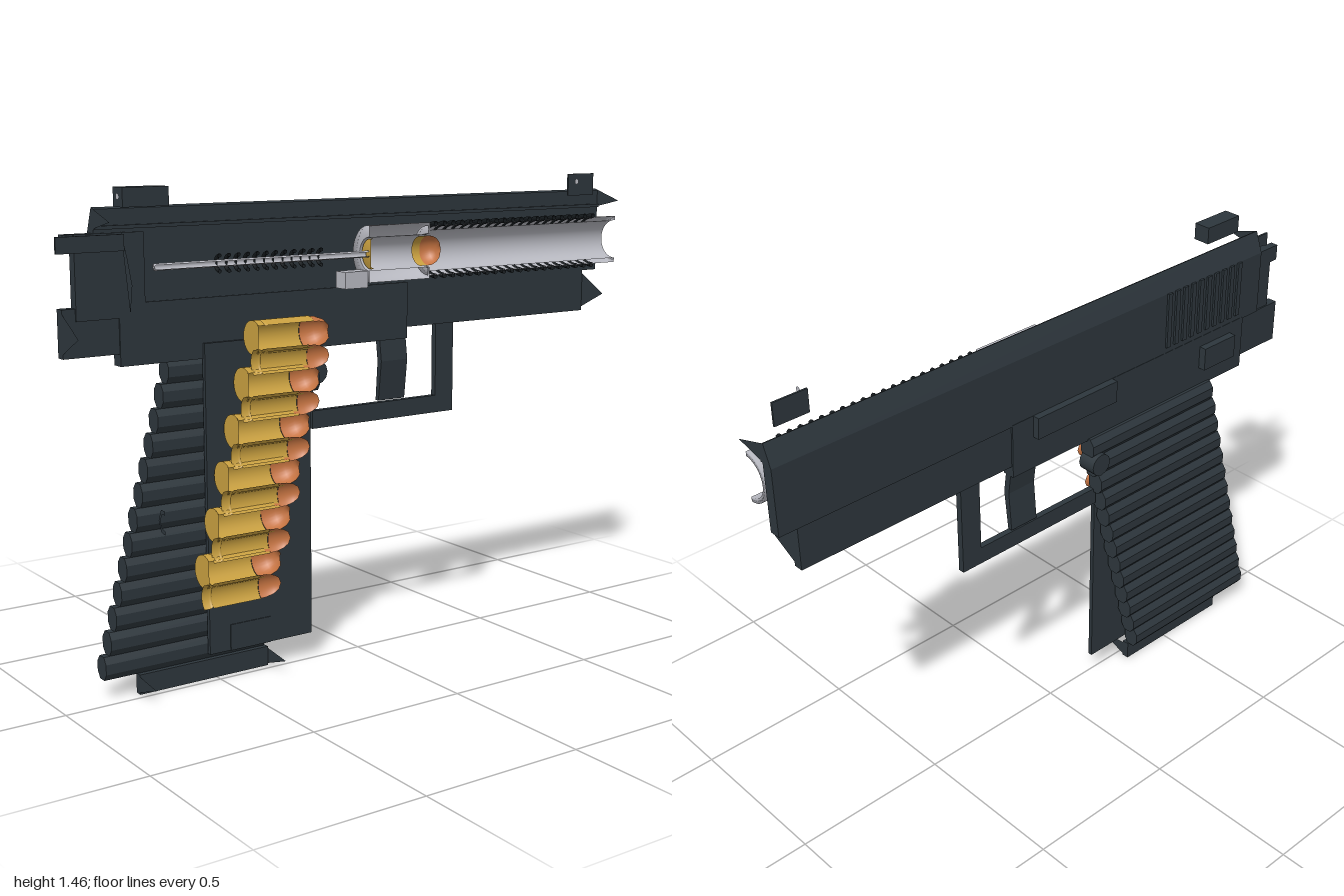
import * as THREE from 'three';

const mat = (name, color, double = true) => {
  const m = new THREE.MeshStandardMaterial({ color, side: double ? THREE.DoubleSide : THREE.FrontSide });
  m.name = name;
  return m;
};

export function createModel() {
  const dark = mat('gunmetal', 0x2d363c);
  const black = mat('springBlack', 0x14191c);
  const steel = mat('steel', 0xb9bac2);
  const brass = mat('brass', 0xc9a040);
  const copper = mat('copper', 0xc67442);
  const root = new THREE.Group();
  const CUT = 0.088; // section plane of the cutaway
  const AXIS = 1.245; // bore height

  const add = (name, geo, material, parent = root) => {
    const m = new THREE.Mesh(geo, material);
    m.name = name;
    parent.add(m);
    return m;
  };
  const group = (name) => {
    const g = new THREE.Group();
    g.name = name;
    root.add(g);
    return g;
  };
  // box from its limits
  const box = (name, [x0, x1], [y0, y1], [z0, z1], material = dark, parent = root) =>
    add(name, new THREE.BoxGeometry(x1 - x0, y1 - y0, z1 - z0)
      .translate((x0 + x1) / 2, (y0 + y1) / 2, (z0 + z1) / 2), material, parent);
  const poly = (pts) => new THREE.Shape(pts.map((p) => new THREE.Vector2(...p)));
  // cross-section in x,y swept along z
  const sweep = (name, pts, z0, z1, parent = root) =>
    add(name, new THREE.ExtrudeGeometry(poly(pts), { depth: z1 - z0, bevelEnabled: false })
      .translate(0, 0, z0), dark, parent);
  // flat face across z
  const face = (name, pts, z, parent = root) =>
    add(name, new THREE.ShapeGeometry(poly(pts)).translate(0, 0, z), dark, parent);
  // trim anything beyond the section plane
  const trim = (geo) => {
    const p = geo.attributes.position;
    for (let i = 0; i < p.count; i++) p.setX(i, Math.min(p.getX(i), CUT));
    return geo;
  };
  // turned part along z, kept only on the near side of the section plane
  const turned = (name, profile, x, y, r, material, parent = root) => {
    const a = Math.acos(THREE.MathUtils.clamp(-(CUT - x) / r, -1, 1));
    const geo = new THREE.LatheGeometry(profile.map((p) => new THREE.Vector2(...p)), 20, 1.5 * Math.PI - a, 2 * a);
    return add(name, trim(geo.rotateX(Math.PI / 2).translate(x, y, 0)), material, parent);
  };
  const tip = (z, r, len) => [[r, z], [r * 0.97, z - len * 0.3], [r * 0.8, z - len * 0.65],
    [r * 0.5, z - len * 0.9], [0, z - len]];

  // Slide
  const slide = group('slide');
  sweep('slideWall', [[-0.055, 1.135], [-0.055, 1.34], [-0.03, 1.405], [-0.02, 1.4], [-0.02, 1.135]], -1, 0.86, slide);
  box('slideRear', [-0.045, -0.015], [1.1, 1.335], [0.71, 0.92], dark, slide);
  box('slideRearRail', [-0.045, -0.02], [1.285, 1.335], [0.86, 0.95], dark, slide);
  box('slideLedge', [-0.022, -0.012], [1.345, 1.355], [-1, 0.86], dark, slide);
  for (const z of [-1, 0.86])
    face('slideEnd', [[-0.03, 1.405], [-0.03, 1.345], [0.08, 1.37]], z, slide);
  for (let i = 0; i < 10; i++)
    box('serration', [-0.062, -0.05], [1.16, 1.34], [0.43 + i * 0.035, 0.447 + i * 0.035], dark, slide);

  // Sights and hammer
  box('rearSight', [0.005, 0.06], [1.407, 1.46], [0.67, 0.81]);
  add('rearSightDot', new THREE.CircleGeometry(0.009, 12).translate(0.033, 1.435, 0.812), steel);
  box('frontSight', [0.036, 0.042], [1.39, 1.46], [-0.92, -0.81]);
  add('frontSightDot', new THREE.CircleGeometry(0.009, 12).translate(0.081, 1.437, -0.81), steel);
  box('hammerSpur', [0.037, 0.044], [1.29, 1.335], [0.8, 1]);
  face('hammerFace', [[0.025, 1.345], [0.04, 1.27], [0.07, 1.12], [0.085, 1.2], [0.06, 1.27]], 0.8);

  // Frame
  const frame = group('frame');
  box('frameRail', [-0.05, -0.02], [1.0, 1.135], [-0.94, 0.96], dark, frame);
  box('frameMiddle', [-0.056, -0.016], [0.965, 1.14], [-0.2, 0.79], dark, frame);
  for (const z of [-0.94, 0.96])
    face('frameEnd', [[-0.03, 1.13], [-0.045, 1.0], [0.08, 1.065]], z, frame);
  box('slideRelease', [-0.078, -0.05], [1.07, 1.14], [-0.12, 0.2], dark, frame);
  box('safetyLever', [-0.08, -0.05], [1.03, 1.105], [0.59, 0.73], dark, frame);
  add('magazineButton', new THREE.CylinderGeometry(0.036, 0.036, 0.06, 12)
    .rotateZ(Math.PI / 2).translate(-0.063, 0.885, 0.125), dark, frame);

  // Trigger and guard
  box('guardBar', [-0.045, -0.025], [0.715, 0.77], [-0.39, 0.15]);
  box('guardPost', [-0.045, -0.025], [0.765, 1.005], [-0.39, -0.32]);
  sweep('trigger', [[-0.05, 1.01], [-0.03, 1.01], [-0.015, 0.9], [-0.03, 0.775], [-0.045, 0.775], [-0.035, 0.9]], -0.2, -0.1);

  // Ribbed grip, each rib set a little further forward
  const grip = group('grip');
  for (let i = 0; i < 13; i++) {
    const y = 0.06 + i * 0.07, h = 0.07, s = i * 0.0185;
    sweep('gripRib', [[-0.065, y], [-0.038, y], [-0.025, y + 0.02], [-0.025, y + 0.05],
      [-0.038, y + h], [-0.065, y + h], [-0.08, y + 0.05], [-0.08, y + 0.02]], 0.325 - s, 0.86 - s, grip);
  }
  box('basePlate', [-0.045, -0.022], [0, 0.06], [0.32, 0.755], dark, grip);
  for (const z of [0.32, 0.755])
    face('basePlateEnd', [[-0.025, 0.055], [-0.035, 0.002], [0.08, 0.042]], z, grip);
  face('hookHalf', [[0.088, 0.565], [0.065, 0.565], [0.05, 0.53], [0.065, 0.5], [0.088, 0.495],
    [0.088, 0.507], [0.07, 0.512], [0.06, 0.53], [0.07, 0.553], [0.088, 0.553]], 0.72, grip);

  // Magazine wall
  box('magazineWall', [-0.02, -0.006], [0.08, 1.01], [0.17, 0.53]);
  box('magazineLatch', [-0.008, -0.003], [0.08, 0.16], [0.32, 0.46]);

  // Two staggered columns of rounds
  const rounds = group('rounds');
  for (let i = 0; i < 12; i++) {
    const left = i % 2 === 1;
    const x = left ? 0.055 : 0.122, y = 0.292 + i * 0.0665, z = 0.6 - i * 0.0175, r = 0.05;
    turned('case', [[r, z], [r, z - 0.022], [r * 0.93, z - 0.025], [r * 0.93, z - 0.03], [r, z - 0.033], [r, z - 0.19]],
      x, y, r, brass, rounds);
    turned('bulletTip', tip(z - 0.19, r * 0.97, 0.07), x, y, r, copper, rounds);
    if (left) add('caseHead', trim(new THREE.CircleGeometry(r, 24).translate(x, y, z)), brass, rounds);
  }

  // Barrel and chamber, halved tubes
  const barrel = group('barrel');
  turned('barrelTube', [[0.052, -0.2], [0.076, -0.2], [0.076, -0.98], [0.062, -0.98], [0.062, -0.2]],
    CUT, AXIS, 0.08, steel, barrel);
  turned('chamber', [[0.05, 0.02], [0.085, 0.02], [0.085, -0.205], [0.05, -0.205], [0.05, 0.02]],
    CUT, AXIS, 0.085, steel, barrel);
  box('feedRamp', [0.03, 0.08], [1.145, 1.195], [0.02, 0.1], steel, barrel);
  turned('chamberedHead', [[0, 0.015], [0.045, 0.015], [0.045, 0.0]], CUT, AXIS, 0.05, brass, barrel);
  turned('chamberedMouth', [[0.045, -0.17], [0.045, -0.2]], CUT, AXIS, 0.05, brass, barrel);
  turned('chamberedTip', tip(-0.2, 0.045, 0.048), CUT, AXIS, 0.05, copper, barrel);

  // Firing pin and halved spring coils
  turned('firingPin', [[0, 0.73], [0.01, 0.73], [0.01, 0.02]], 0.08, AXIS, 0.01, steel);
  const coils = (name, n, z0, z1, r, t) => {
    const g = group(name);
    for (let i = 0; i < n; i++)
      add('coil', new THREE.TorusGeometry(r, t, 6, 14, Math.PI).rotateZ(Math.PI / 2)
        .translate(CUT, AXIS, z0 + (z1 - z0) * i / (n - 1)), black, g);
  };
  coils('recoilSpring', 20, -0.88, -0.23, 0.08, 0.008);
  coils('firingPinSpring', 12, 0.19, 0.53, 0.022, 0.006);

  return root;
}
